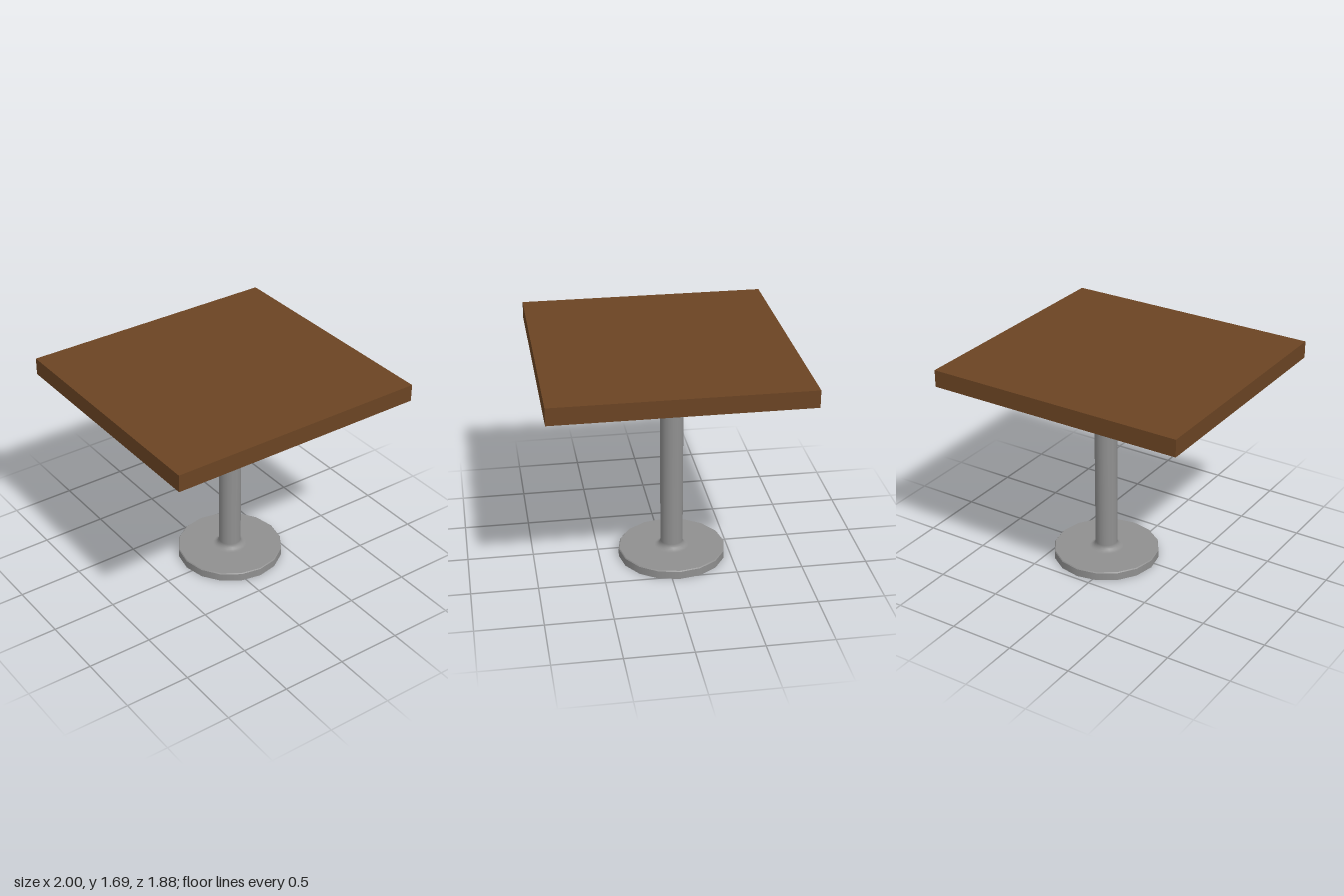
import * as THREE from 'three';

const SIDES = 16;

export function createModel() {
  const wood = new THREE.MeshStandardMaterial({ color: 0x6b4423 });
  wood.name = 'brown wood';
  const metal = new THREE.MeshStandardMaterial({ color: 0x909090 });
  metal.name = 'grey metal';

  const model = new THREE.Group();
  model.name = 'pedestalTable';

  // Square slab top
  const top = new THREE.Mesh(new THREE.BoxGeometry(2, 0.13, 1.88), wood);
  top.name = 'tableTop';
  top.position.y = 1.625;
  model.add(top);

  // Pedestal stands slightly off centre
  const pedestal = new THREE.Group();
  pedestal.name = 'pedestal';
  pedestal.position.set(0.123, 0, -0.058);
  model.add(pedestal);

  // Turned part from [radius, height] pairs, listed bottom to top
  const turn = (name, profile) => {
    const points = profile.map(([r, y]) => new THREE.Vector2(r, y));
    const mesh = new THREE.Mesh(new THREE.LatheGeometry(points, SIDES), metal);
    mesh.name = name;
    pedestal.add(mesh);
  };

  // Separate pieces keep the rim edges sharp
  turn('baseUnderside', [[0, 0], [0.41, 0]]);
  turn('baseRim', [[0.41, 0], [0.41, 0.06]]);
  turn('baseRimBevel', [[0.41, 0.06], [0.404, 0.067]]);

  // Base plate flows through a fillet into the column
  const fillet = [];
  for (let i = 0; i <= 5; i++) {
    const a = (i / 5) * Math.PI / 2;
    fillet.push([0.132 - 0.045 * Math.sin(a), 0.112 - 0.045 * Math.cos(a)]);
  }
  turn('baseAndColumn', [[0.404, 0.067], ...fillet, [0.087, 1.545]]);
  turn('columnCap', [[0.087, 1.545], [0, 1.545]]);

  return model;
}
